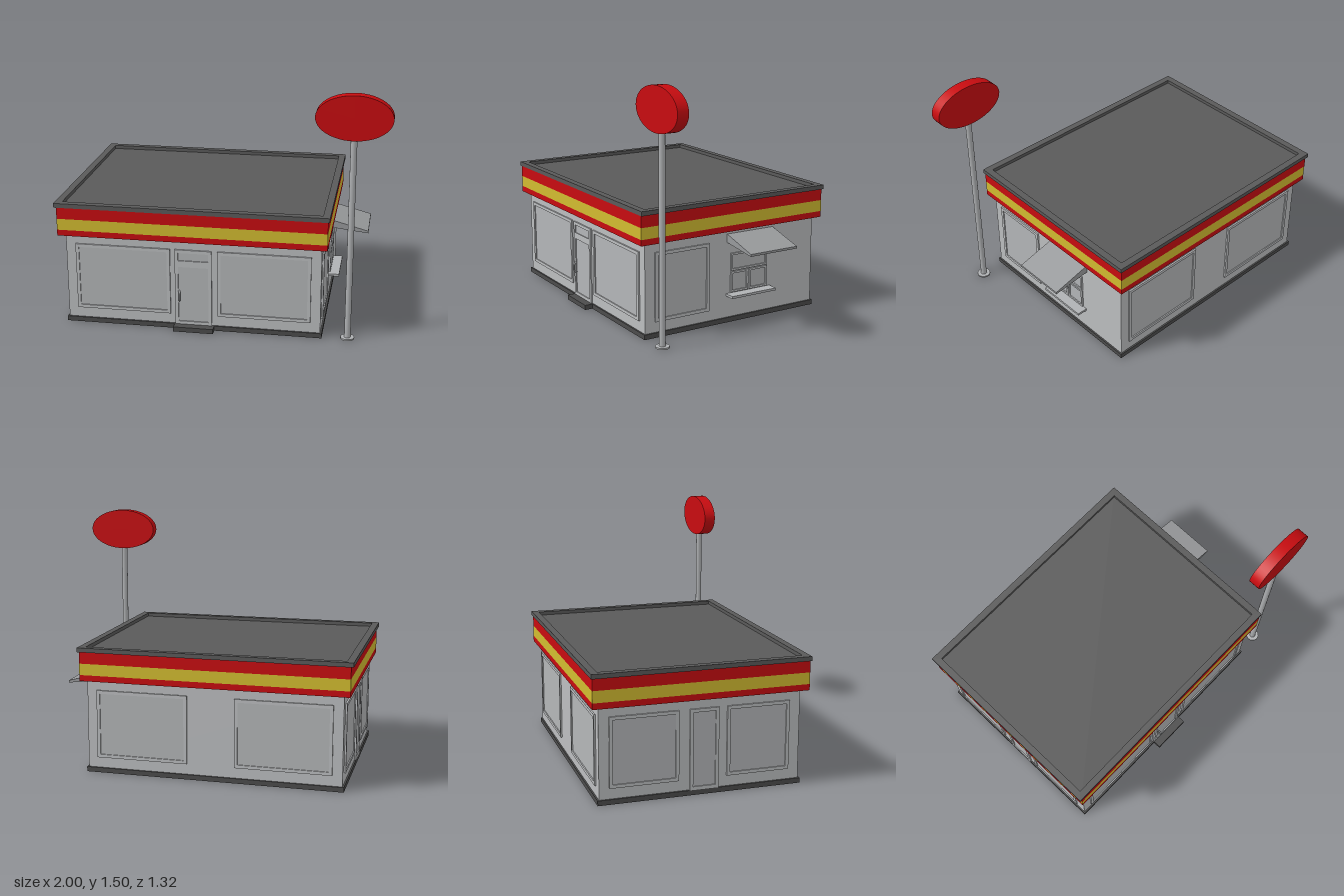
import * as THREE from 'three';

export function createModel() {
  const model = new THREE.Group();
  model.name = 'shop';
  const paint = (name, color) => {
    const m = new THREE.MeshStandardMaterial({ color });
    m.name = name;
    return m;
  };
  const wall = paint('wall grey', 0xbcbec0);
  const glass = paint('pane grey', 0xb4b6b8);
  const roof = paint('roof grey', 0x5a5a5a);
  const dark = paint('base grey', 0x4c4c4c);
  const red = paint('red', 0xc80c10);
  const yellow = paint('yellow', 0xd2bc30);
  const awningGrey = paint('awning grey', 0x989a9c);
  const metal = paint('pole grey', 0xb0b2b4);

  const add = (parent, name, geometry, material) => {
    const mesh = new THREE.Mesh(geometry, material);
    mesh.name = name;
    parent.add(mesh);
    return mesh;
  };
  // Box given by its two extreme corners
  const box = (parent, name, material, x0, x1, y0, y1, z0, z1) => {
    const mesh = add(parent, name, new THREE.BoxGeometry(x1 - x0, y1 - y0, z1 - z0), material);
    mesh.position.set((x0 + x1) / 2, (y0 + y1) / 2, (z0 + z1) / 2);
    return mesh;
  };
  // Rectangular ring of width w, standing on z = 0
  const ring = (x0, x1, y0, y1, w, depth) => {
    const rect = (C, a, b, c, d) => {
      const s = new C();
      s.moveTo(a, c);
      s.lineTo(b, c);
      s.lineTo(b, d);
      s.lineTo(a, d);
      s.closePath();
      return s;
    };
    const shape = rect(THREE.Shape, x0, x1, y0, y1);
    shape.holes.push(rect(THREE.Path, x0 + w, x1 - w, y0 + w, y1 - w));
    return new THREE.ExtrudeGeometry(shape, { depth, bevelEnabled: false });
  };

  // Body
  box(model, 'foundation', dark, -0.955, 0.625, 0, 0.03, -0.62, 0.61);
  box(model, 'doorStep', dark, -0.275, -0.03, 0, 0.03, 0.61, 0.66);
  box(model, 'walls', wall, -0.945, 0.615, 0.03, 0.58, -0.61, 0.6);

  // Striped fascia
  const bands = [[0.575, 0.612, red], [0.612, 0.682, yellow], [0.682, 0.752, red]];
  for (const [y0, y1, m] of bands) box(model, 'fasciaBand', m, -0.985, 0.65, y0, y1, -0.652, 0.642);

  // Flat roof with a raised rim
  box(model, 'roofDeck', roof, -0.98, 0.645, 0.75, 0.758, -0.645, 0.635);
  const rim = add(model, 'roofRim', ring(-1, 0.66, -0.645, 0.66, 0.043, 0.027), roof);
  rim.rotation.x = -Math.PI / 2;
  rim.position.y = 0.753;

  // One group per wall: local x runs to the right as seen from outside
  const side = (name, x, z, turn) => {
    const g = new THREE.Group();
    g.name = name;
    g.position.set(x, 0, z);
    g.rotation.y = turn * Math.PI / 2;
    model.add(g);
    return g;
  };
  const front = side('frontWallDetails', 0, 0.6, 0);
  const right = side('rightWallDetails', 0.615, 0, 1);
  const back = side('backWallDetails', 0, -0.61, 2);
  const left = side('leftWallDetails', -0.945, 0, -1);

  const panel = (g, name, x0, x1, y0, y1, w = 0.02) => {
    add(g, name + 'Frame', ring(x0, x1, y0, y1, w, 0.01), wall);
    box(g, name + 'Pane', glass, x0 + w, x1 - w, y0 + w, y1 - w, 0, 0.003);
  };

  // Large windows
  const windows = [
    [front, -0.885, -0.3], [front, -0.01, 0.555],
    [back, -0.555, 0.01], [back, 0.3, 0.885],
    [right, -0.535, -0.16],
    [left, -0.55, -0.14], [left, 0.15, 0.535],
  ];
  for (const [g, x0, x1] of windows) panel(g, 'window', x0, x1, 0.095, 0.515);

  // Front door with transom and handle
  panel(front, 'door', -0.27, -0.045, 0.03, 0.425);
  panel(front, 'transom', -0.27, -0.045, 0.425, 0.515);
  const grip = new THREE.CatmullRomCurve3([
    [-0.245, 0.185, 0.008], [-0.24, 0.195, 0.026], [-0.24, 0.24, 0.026], [-0.245, 0.25, 0.008],
  ].map(p => new THREE.Vector3(...p)));
  add(front, 'doorHandle', new THREE.TubeGeometry(grip, 12, 0.006, 6), metal);

  // Side door
  panel(left, 'sideDoor', -0.075, 0.1, 0.03, 0.515);

  // Serving hatch, shelf and sloping awning
  panel(right, 'hatchUpper', -0.005, 0.26, 0.32, 0.43, 0.012);
  panel(right, 'hatchLower', -0.005, 0.122, 0.185, 0.315, 0.012);
  panel(right, 'hatchLower', 0.128, 0.26, 0.185, 0.315, 0.012);
  box(right, 'hatchShelf', metal, -0.035, 0.288, 0.165, 0.18, 0, 0.068);
  const slope = new THREE.Shape([[0, 0.5], [0.245, 0.472], [0.245, 0.486], [0, 0.552]]
    .map(p => new THREE.Vector2(...p)));
  const awning = add(model, 'awning',
    new THREE.ExtrudeGeometry(slope, { depth: 0.335, bevelEnabled: false }), awningGrey);
  awning.position.set(0.615, 0, -0.305);

  // Roadside sign: oval board on a round pole
  const sign = new THREE.Group();
  sign.name = 'roadSign';
  sign.position.set(0.778, 0, 0.581);
  model.add(sign);
  const foot = add(sign, 'poleFoot', new THREE.CylinderGeometry(0.042, 0.042, 0.01, 20), metal);
  foot.position.y = 0.005;
  const pole = add(sign, 'pole', new THREE.CylinderGeometry(0.019, 0.019, 1.25, 16), metal);
  pole.position.y = 0.63;
  const disc = new THREE.CylinderGeometry(1, 1, 0.072, 48);
  disc.rotateX(Math.PI / 2);
  disc.scale(0.222, 0.132, 1);
  add(sign, 'signBoard', disc, red).position.y = 1.373;

  return model;
}
